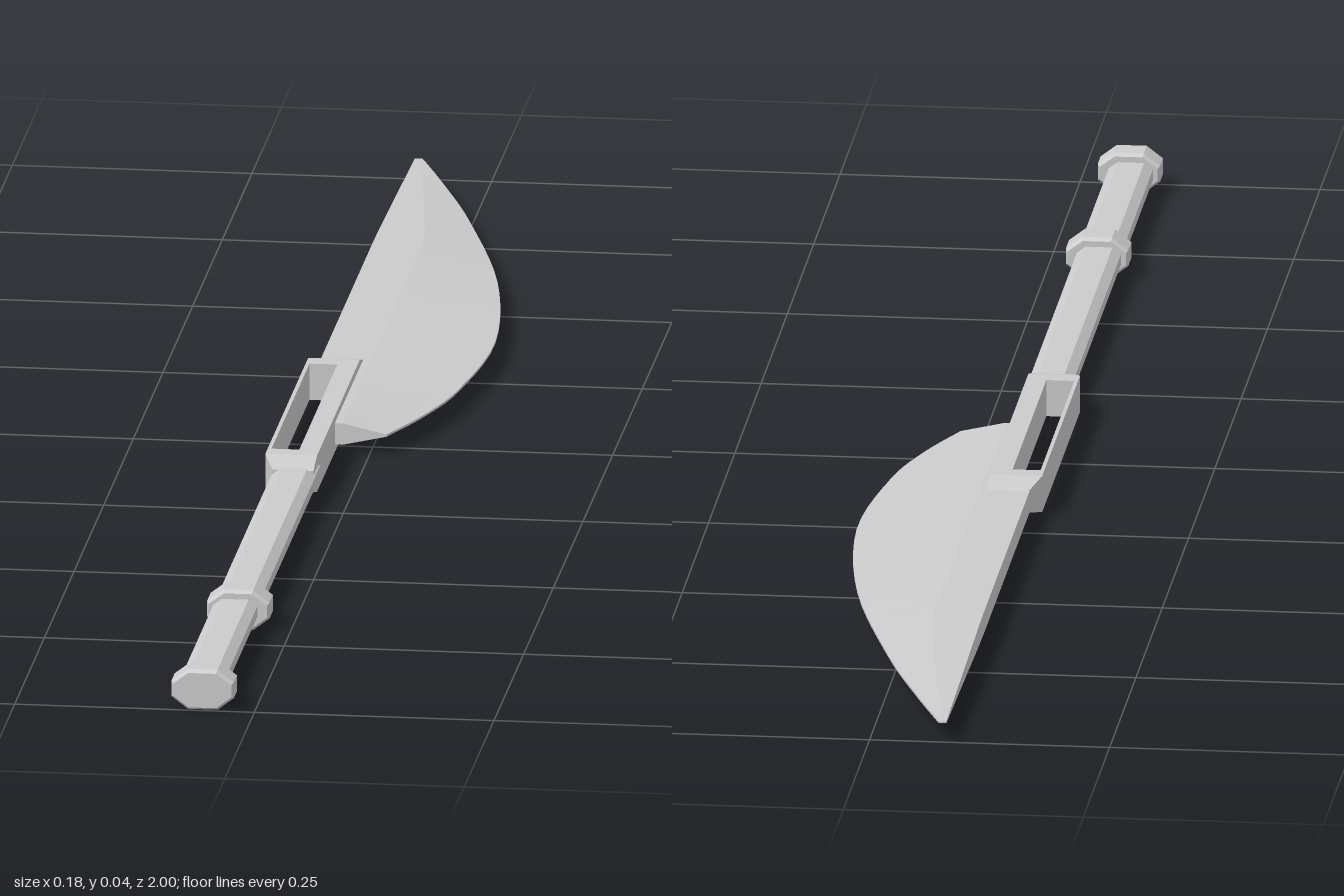
import * as THREE from 'three';

const MID = 0.0225; // height of the weapon's centre plane
const material = new THREE.MeshStandardMaterial({ color: 0xcccccc, flatShading: true });

// Skins counter-clockwise cross-sections [x, y] placed at ascending z, with closed ends.
function loft(name, sections) {
  const pos = [];
  const put = (s, i) => pos.push(s.pts[i][0], s.pts[i][1], s.z);
  const n = sections[0].pts.length;
  for (let k = 0; k < sections.length - 1; k++) {
    const a = sections[k], b = sections[k + 1];
    for (let i = 0; i < n; i++) {
      const j = (i + 1) % n;
      put(a, i); put(a, j); put(b, j);
      put(a, i); put(b, j); put(b, i);
    }
  }
  const first = sections[0], last = sections[sections.length - 1];
  for (let i = 1; i < n - 1; i++) {
    put(first, 0); put(first, i + 1); put(first, i);
    put(last, 0); put(last, i); put(last, i + 1);
  }
  const geo = new THREE.BufferGeometry();
  geo.setAttribute('position', new THREE.Float32BufferAttribute(pos, 3));
  geo.computeVertexNormals();
  const mesh = new THREE.Mesh(geo, material);
  mesh.name = name;
  return mesh;
}

// Rectangle with cut corners, half height h, cut by cx and cy.
function octagon(x0, x1, h, cx, cy) {
  const b = MID - h, t = MID + h;
  return [[x0 + cx, b], [x1 - cx, b], [x1, b + cy], [x1, t - cy],
    [x1 - cx, t], [x0 + cx, t], [x0, t - cy], [x0, b + cy]];
}

const rect = (x0, x1, h) => [[x0, MID - h], [x1, MID - h], [x1, MID + h], [x0, MID + h]];

// Collar with slightly bevelled rims.
function collar(name, z0, z1) {
  const small = octagon(-0.085, -0.024, 0.0185, 0.016, 0.012);
  const full = octagon(-0.087, -0.022, 0.0215, 0.017, 0.013);
  return loft(name, [
    { z: z0, pts: small }, { z: z0 + 0.005, pts: full },
    { z: z1 - 0.005, pts: full }, { z: z1, pts: small },
  ]);
}

// Single-edged blade: flat along the spine, then a long bevel to the curved edge.
function blade() {
  const edge = new THREE.SplineCurve([
    [-1, -0.072], [-0.9, -0.036], [-0.77, 0.006], [-0.55, 0.062],
    [-0.33, 0.087], [-0.15, 0.072], [-0.05, 0.048], [0.03, 0.018],
  ].map(([z, x]) => new THREE.Vector2(z, x)));
  const section = (z, x, spine) => {
    const h = 0.0115 * Math.min(1, 0.08 + (z + 1) / 0.36);
    const e = Math.min(0.0012, h);
    const shoulder = Math.min(-0.028, spine + (x - spine) * 0.45);
    return { z, pts: [[spine, MID - h], [shoulder, MID - h], [x, MID - e],
      [x, MID + e], [shoulder, MID + h], [spine, MID + h]] };
  };
  const sections = [];
  let stepped = false;
  for (const p of edge.getPoints(35)) {
    // the spine steps inward beside the slot
    if (!stepped && p.x > -0.17) {
      sections.push(section(-0.17, 0.0745, -0.08), section(-0.17, 0.0745, -0.045));
      stepped = true;
    }
    sections.push(section(p.x, p.y, stepped ? -0.045 : -0.08));
  }
  return loft('blade', sections);
}

// Slotted frame between grip and blade, with tapered ends.
function slottedFrame() {
  const group = new THREE.Group();
  group.name = 'slottedFrame';
  const h = 0.0195, x0 = -0.09, x1 = -0.036, zEnd = 0.18;
  const shape = new THREE.Shape([[x0, -zEnd], [x1, -zEnd], [x1, zEnd], [x0, zEnd]]
    .map(p => new THREE.Vector2(...p)));
  shape.holes.push(new THREE.Path([[-0.086, -0.16], [-0.086, 0.16], [-0.057, 0.16], [-0.057, -0.16]]
    .map(p => new THREE.Vector2(...p))));
  const geo = new THREE.ExtrudeGeometry(shape, { depth: 2 * h, bevelEnabled: false });
  geo.rotateX(-Math.PI / 2);
  geo.translate(0, MID - h, 0);
  const body = new THREE.Mesh(geo, material);
  body.name = 'slotBody';
  const wide = rect(x0, x1, h), narrow = rect(-0.079, x1, 0.0115);
  group.add(body,
    loft('frontTaper', [{ z: zEnd, pts: wide }, { z: 0.21, pts: narrow }]),
    loft('backTaper', [{ z: -0.21, pts: narrow }, { z: -zEnd, pts: wide }]));
  return group;
}

export function createModel() {
  const model = new THREE.Group();
  model.name = 'longBlade';
  const grip = octagon(-0.08, -0.034, 0.0125, 0.009, 0.007);
  model.add(
    loft('grip', [{ z: 0.17, pts: grip }, { z: 0.98, pts: grip }]),
    collar('gripRing', 0.66, 0.7),
    collar('pommel', 0.963, 1),
    slottedFrame(),
    blade(),
  );
  return model;
}
